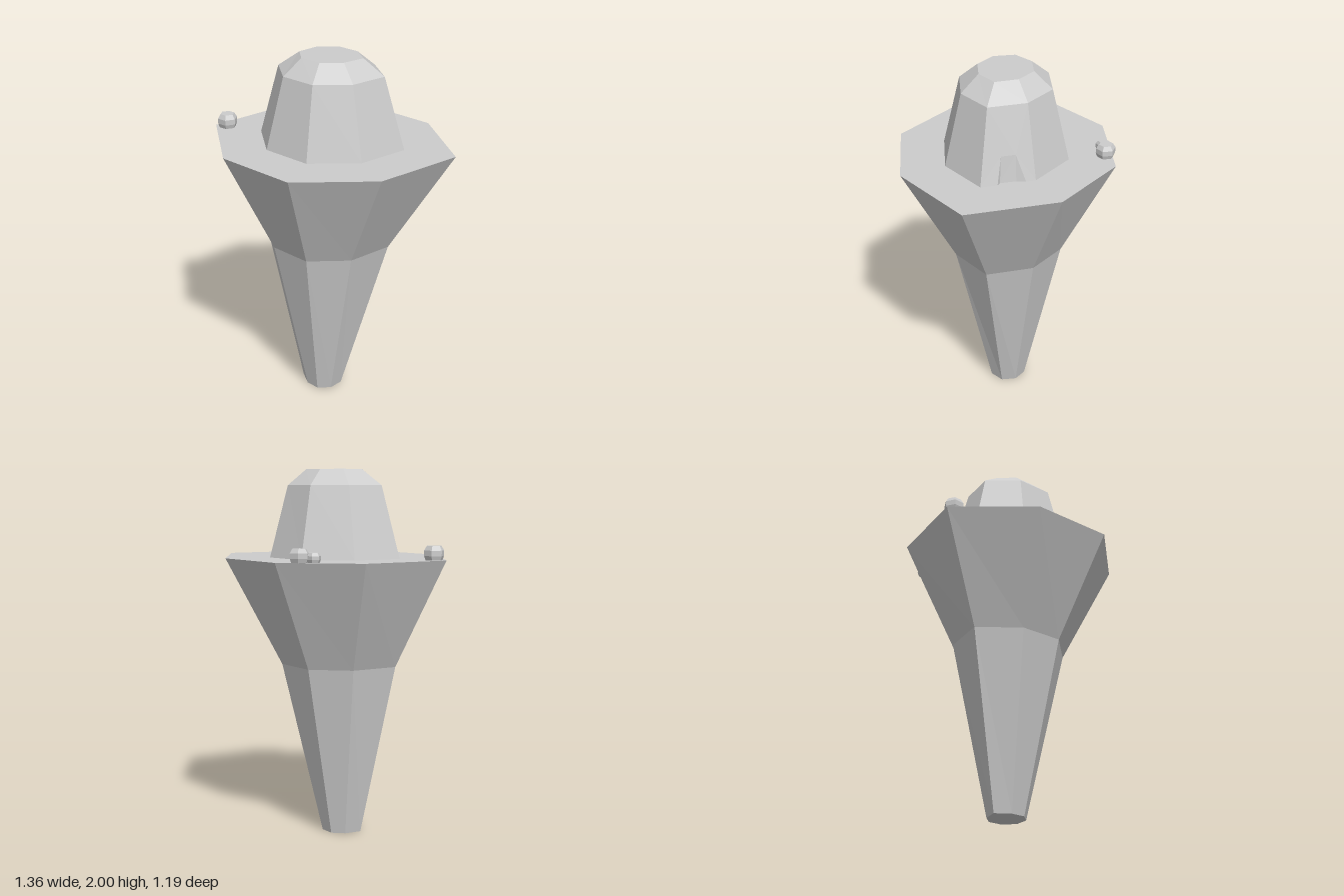
import * as THREE from 'three';

const stone = new THREE.MeshStandardMaterial({ color: 0xcccccc });
stone.name = 'grey stone';

// Flat-shaded mesh from convex polygons, each fanned into triangles
function polyMesh(name, polygons) {
  const positions = [];
  for (const p of polygons)
    for (let i = 1; i < p.length - 1; i++) positions.push(...p[0], ...p[i], ...p[i + 1]);
  const geometry = new THREE.BufferGeometry();
  geometry.setAttribute('position', new THREE.Float32BufferAttribute(positions, 3));
  geometry.computeVertexNormals();
  const mesh = new THREE.Mesh(geometry, stone);
  mesh.name = name;
  return mesh;
}

// Eight-sided ring: x from end to end, diagonal corner offsets, half depth
function ring(y, x0, x1, cx, dx, hz, dz) {
  return [
    [x1, y, 0], [cx + dx, y, dz], [cx, y, hz], [cx - dx, y, dz],
    [x0, y, 0], [cx - dx, y, -dz], [cx, y, -hz], [cx + dx, y, -dz],
  ];
}

// Side faces between two rings, optionally leaving one out
function band(low, up, skip = -1) {
  const faces = [];
  for (let i = 0; i < 8; i++) {
    const j = (i + 1) % 8;
    if (i !== skip) faces.push([low[i], up[i], up[j], low[j]]);
  }
  return faces;
}

const cap = (r) => [...r].reverse();

function pebble(name, x, z, rx, rz, height, turn) {
  const profile = [[0, 0], [0.85, 0], [1, 0.3], [1, 0.68], [0.72, 1], [0, 1]]
    .map(([r, y]) => new THREE.Vector2(r, y));
  const geometry = new THREE.LatheGeometry(profile, 6).toNonIndexed();
  geometry.rotateY(turn);
  geometry.scale(rx, height, rz);
  geometry.computeVertexNormals();
  const mesh = new THREE.Mesh(geometry, stone);
  mesh.name = name;
  mesh.position.set(x, 1.53, z);
  return mesh;
}

export function createModel() {
  const model = new THREE.Group();
  model.name = 'taperedTower';

  // Leaning stem that flares into a wide platform
  const foot = ring(0, -0.18, 0.055, -0.053, 0.073, 0.105, 0.075);
  const waist = ring(0.95, -0.39, 0.325, -0.033, 0.222, 0.312, 0.22);
  const rim = ring(1.53, -0.68, 0.675, -0.013, 0.425, 0.595, 0.425);
  model.add(polyMesh('stem', [foot, ...band(foot, waist)]));
  model.add(polyMesh('flare', band(waist, rim)));
  model.add(polyMesh('platform', [cap(rim)]));

  // Dome with one face left open for the doorway
  const base = ring(1.53, -0.41, 0.4, -0.013, 0.261, 0.345, 0.243);
  const shoulder = ring(1.915, -0.3, 0.285, -0.013, 0.188, 0.25, 0.175);
  const crown = ring(2, -0.18, 0.17, -0.013, 0.115, 0.15, 0.105);
  model.add(polyMesh('dome', [...band(base, shoulder, 7), ...band(shoulder, crown), cap(crown)]));

  // Doorway wall, with a shallow recess that leans back at its foot
  const A = base[0], B = base[7], C = shoulder[7], D = shoulder[0];
  const P = [0.354, 1.53, -0.075], Q = [0.309, 1.67, -0.078];
  const R = [0.269, 1.67, -0.143], S = [0.276, 1.53, -0.2];
  const p = [0.33, 1.53, -0.08], s = [0.287, 1.53, -0.152];
  model.add(polyMesh('doorwayWall', [[A, P, Q, D], [D, Q, R, C], [R, S, B, C]]));
  model.add(polyMesh('doorRecess', [[p, s, R, Q], [P, p, Q], [s, S, R]]));

  // Loose pebbles near the rim
  model.add(pebble('leftPebble', -0.61, -0.003, 0.054, 0.054, 0.075, 0.2));
  model.add(pebble('backPebble', -0.108, -0.517, 0.052, 0.052, 0.07, 0.45));
  model.add(pebble('smallBackPebble', -0.175, -0.487, 0.036, 0.038, 0.05, 0.3));

  return model;
}
